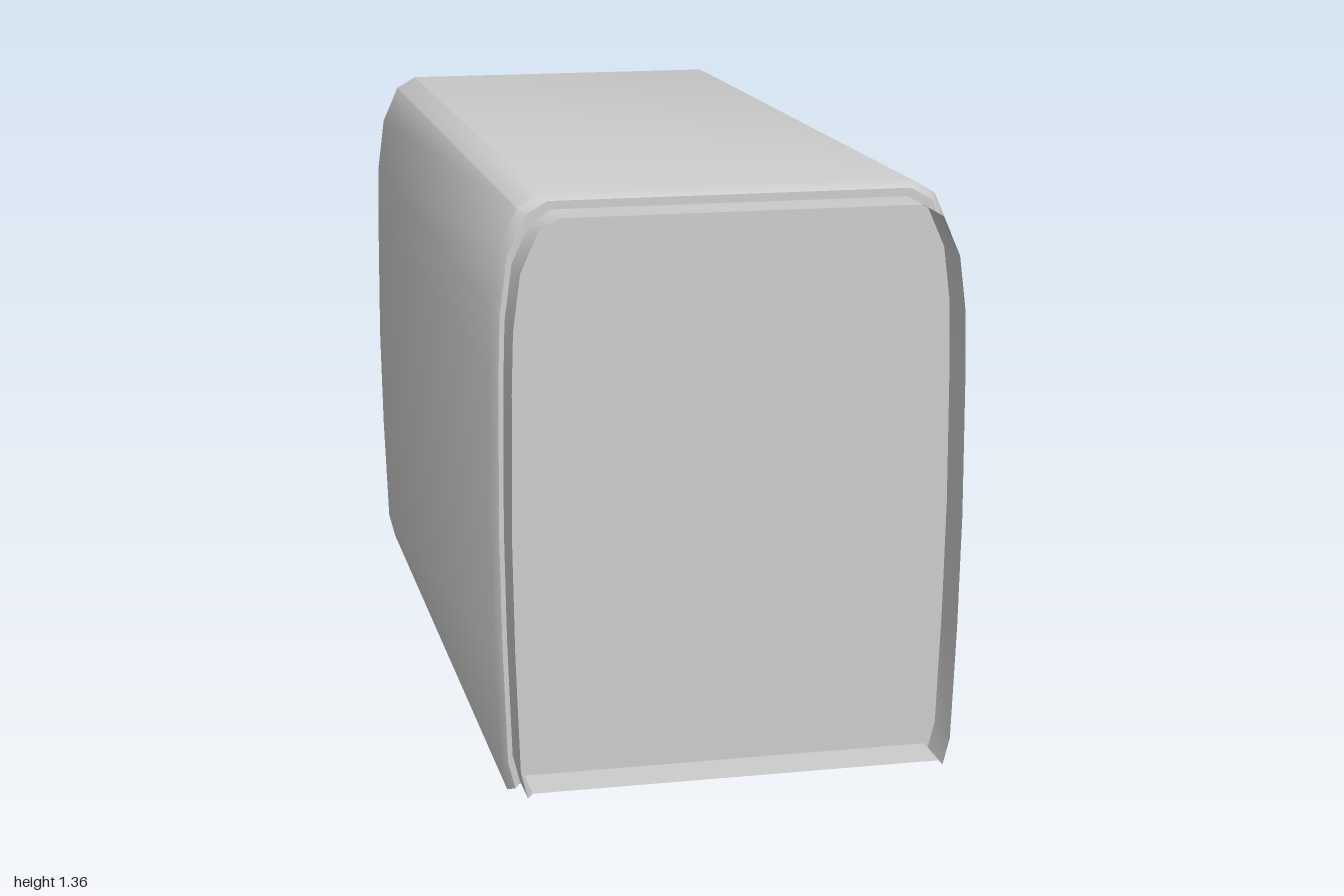
import * as THREE from 'three';
import { toCreasedNormals } from 'three/addons/utils/BufferGeometryUtils.js';

// Half cross-section of the body, from the floor edge up to the roof
const HALF = [
  [0.455, 0.12], [0.465, 0.11], [0.48, 0.17], [0.489, 0.43], [0.493, 0.68],
  [0.49, 1.0], [0.486, 1.13], [0.47, 1.25], [0.432, 1.335], [0.385, 1.362],
];
const MID_Y = 0.736;

// Closed cross-section, scaled about its middle, counter-clockwise from the front
function section(sx, sy) {
  const right = HALF.map(([x, y]) => new THREE.Vector2(x * sx, MID_Y + (y - MID_Y) * sy));
  const left = right.map((p) => new THREE.Vector2(-p.x, p.y)).reverse();
  return [...right, ...left];
}

// Skin through sections listed from front to back
function loft(rings) {
  const pos = [], idx = [], n = rings[0].pts.length;
  for (const { pts, z } of rings) for (const p of pts) pos.push(p.x, p.y, z);
  for (let r = 0; r < rings.length - 1; r++) {
    for (let i = 0; i < n; i++) {
      const j = (i + 1) % n;
      const a = r * n + i, b = a + n, c = r * n + n + j, d = r * n + j;
      idx.push(a, b, c, a, c, d);
    }
  }
  const g = new THREE.BufferGeometry();
  g.setAttribute('position', new THREE.Float32BufferAttribute(pos, 3));
  g.setIndex(idx);
  return toCreasedNormals(g, 0.7);
}

export function createModel() {
  const model = new THREE.Group();
  const grey = new THREE.MeshStandardMaterial({ color: 0xcccccc });
  grey.name = 'plain grey';
  grey.side = THREE.DoubleSide;

  const add = (name, geometry, x = 0, y = 0, z = 0) => {
    const mesh = new THREE.Mesh(geometry, grey);
    mesh.name = name;
    mesh.position.set(x, y, z);
    model.add(mesh);
    return mesh;
  };

  // Long body with narrow bevels at both ends
  const full = section(1, 1), inset = section(0.972, 0.982);
  add('bodyShell', loft([
    { pts: inset, z: 0.9 }, { pts: full, z: 0.875 },
    { pts: full, z: -0.975 }, { pts: inset, z: -1 },
  ]));
  const cap = new THREE.ShapeGeometry(new THREE.Shape(inset));
  add('frontPanel', cap, 0, 0, 0.9);
  add('backPanel', cap, 0, 0, -1).rotation.y = Math.PI;

  // Open sleeve standing out in front of the recessed panel
  const sleeve = section(0.952, 0.955);
  add('frontSleeve', loft([{ pts: sleeve, z: 1 }, { pts: sleeve, z: 0.9 }]));

  // Foot outline, drawn along the length of the body
  const foot = new THREE.Shape([
    [-0.113, 0.12], [-0.113, 0.105], [-0.085, 0.035], [0, 0],
    [0.085, 0.035], [0.113, 0.105], [0.113, 0.12],
  ].map(([u, v]) => new THREE.Vector2(u, v)));
  const footGeometry = new THREE.ExtrudeGeometry(foot, { depth: 0.04, bevelEnabled: false });
  footGeometry.translate(0, 0, -0.02);
  footGeometry.rotateY(Math.PI / 2);

  // Rails with two feet on each side
  for (const side of [-1, 1]) {
    const label = side > 0 ? 'left' : 'right';
    add(label + 'Rail', new THREE.BoxGeometry(0.08, 0.018, 0.97), side * 0.33, 0.114, -0.05);
    add(label + 'FrontFoot', footGeometry, side * 0.31, 0, 0.322);
    add(label + 'BackFoot', footGeometry, side * 0.31, 0, -0.42);
  }
  return model;
}
